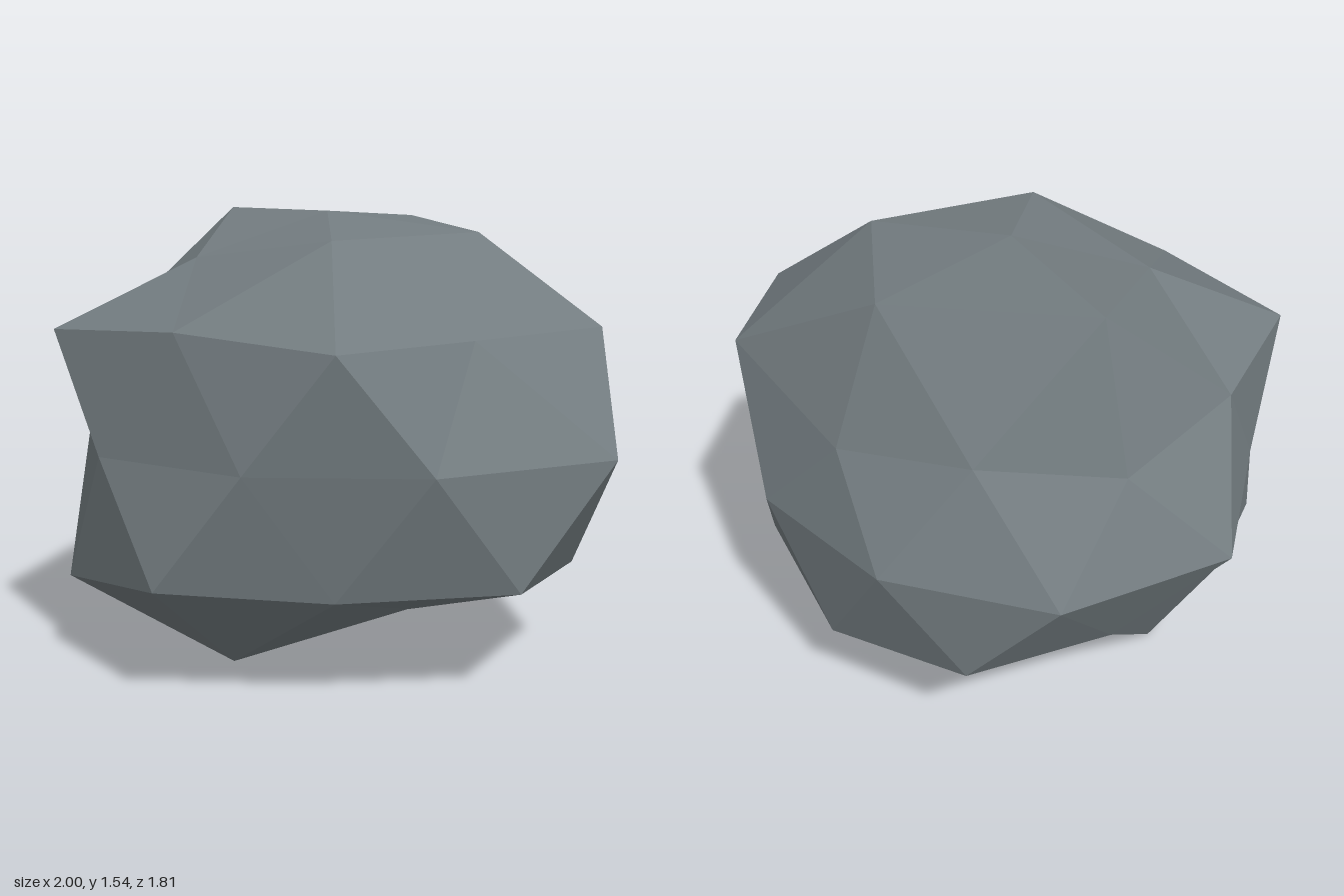
import * as THREE from 'three';

// Faceted boulder: a sphere of stacked rings whose points are pushed in or out.
export function createModel() {
  const group = new THREE.Group();
  group.name = 'boulder';
  const stone = new THREE.MeshStandardMaterial({ color: 0x737c80, flatShading: true });
  stone.name = 'slate grey';

  // One ring: heights (alternating along the ring), first angle in degrees, radial factors
  const rings = [
    { h: [1], start: 0, r: [0.962] },
    { h: [0.8507], start: 0, r: [1.027, 1.0, 0.902, 1.145, 1.1] },
    { h: [0.4472, 0.5257], start: 0, r: [1.08, 0.89, 1.028, 0.975, 1.077, 0.928, 0.87, 0.852, 0.86, 1.083] },
    { h: [0], start: 18, r: [1.11, 0.955, 0.905, 0.92, 0.855, 0.988, 0.97, 0.905, 0.912, 0.948] },
    { h: [-0.5257, -0.4472], start: 0, r: [1.046, 1.095, 0.967, 1.065, 1.105, 0.917, 0.88, 0.987, 1.0, 0.975] },
    { h: [-0.8507], start: 36, r: [0.85, 1.062, 1.122, 0.84, 0.9] },
    { h: [-1], start: 0, r: [0.875] },
  ];
  const squash = 0.8, cx = -0.06, cy = 0.765;
  const positions = [];
  const [top, U, V, E, W, L, bottom] = rings.map(({ h, start, r }) => {
    const first = positions.length / 3, n = r.length;
    r.forEach((f, i) => {
      const y = h[i % h.length], w = Math.sqrt(1 - y * y);
      const a = THREE.MathUtils.degToRad(start + (360 / n) * i);
      positions.push(cx + f * w * Math.cos(a), cy + f * y * squash, f * w * Math.sin(a));
    });
    return (i) => first + ((i + n) % n);
  });

  // Facets, corners counter-clockwise seen from outside
  const index = [];
  const tri = (a, b, c) => index.push(a, b, c);
  for (let k = 0; k < 5; k++) {
    // Top cap
    tri(top(0), U(k + 1), U(k));
    tri(U(k), V(2 * k), V(2 * k - 1));
    tri(U(k), V(2 * k + 1), V(2 * k));
    tri(U(k), U(k + 1), V(2 * k + 1));
    // Bottom cap
    tri(bottom(0), L(k), L(k + 1));
    tri(L(k), W(2 * k), W(2 * k + 1));
    tri(L(k), W(2 * k + 1), W(2 * k + 2));
    tri(L(k), W(2 * k + 2), L(k + 1));
  }
  for (let i = 0; i < 10; i++) {
    // Belts above and below the middle
    tri(V(i), V(i + 1), E(i));
    tri(V(i + 1), E(i + 1), E(i));
    tri(E(i), W(i + 1), W(i));
    tri(E(i), E(i + 1), W(i + 1));
  }

  const indexed = new THREE.BufferGeometry();
  indexed.setAttribute('position', new THREE.Float32BufferAttribute(positions, 3));
  indexed.setIndex(index);
  const geometry = indexed.toNonIndexed();
  geometry.computeVertexNormals();

  const rock = new THREE.Mesh(geometry, stone);
  rock.name = 'rock';
  group.add(rock);
  return group;
}
